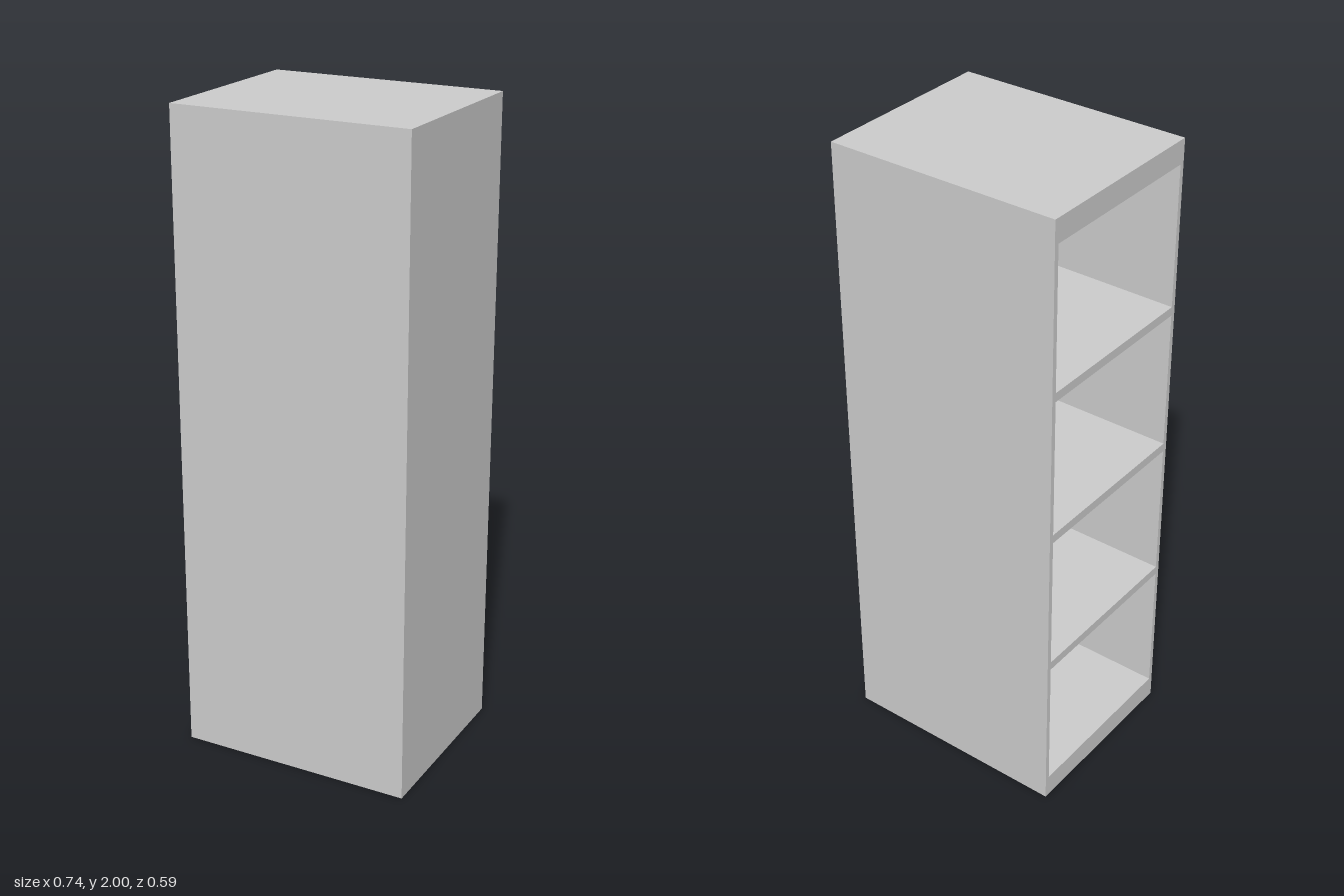
import * as THREE from 'three';

export function createModel() {
  const group = new THREE.Group();
  const material = new THREE.MeshStandardMaterial({ color: 0xcccccc, flatShading: true });
  const W = 0.737, H = 2, D = 0.59; // outer size
  const wall = 0.015, slab = 0.073, shelf = 0.028, bays = 4;

  function box(name, w, h, d, x, y, z) {
    const mesh = new THREE.Mesh(new THREE.BoxGeometry(w, h, d), material);
    mesh.name = name;
    mesh.position.set(x, y, z);
    group.add(mesh);
  }

  // thick base and top, full footprint
  box('base', W, slab, D, 0, slab / 2, 0);
  box('top', W, slab, D, 0, H - slab / 2, 0);

  // thin panels closing three sides; the -x side stays open
  const innerH = H - 2 * slab;
  box('frontPanel', W, innerH, wall, 0, H / 2, (D - wall) / 2);
  box('backPanel', W, innerH, wall, 0, H / 2, -(D - wall) / 2);
  box('sidePanel', wall, innerH, D - 2 * wall, (W - wall) / 2, H / 2, 0);

  // evenly spaced shelves, flush with the open side
  const opening = (innerH - (bays - 1) * shelf) / bays;
  for (let i = 1; i < bays; i++) {
    const y = slab + i * opening + (i - 0.5) * shelf;
    box('shelf' + i, W - wall, shelf, D - 2 * wall, -wall / 2, y, 0);
  }
  return group;
}
